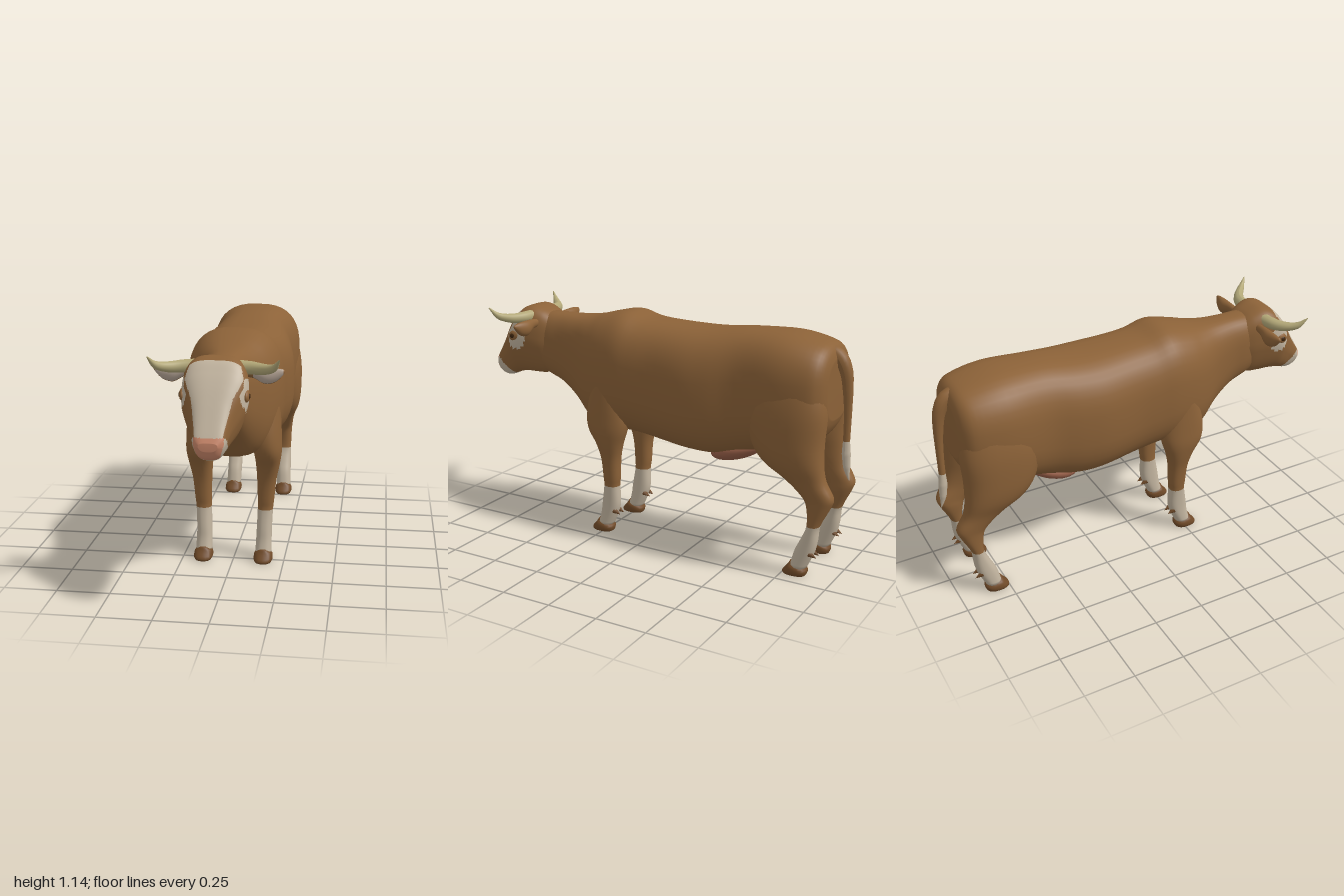
import * as THREE from 'three';

const mat = (name, color) => Object.assign(new THREE.MeshStandardMaterial({ color }), { name });

// Smooth interpolation through the cross-section rows
function refine(rows, sub) {
  const out = [];
  const at = i => rows[Math.min(Math.max(i, 0), rows.length - 1)];
  for (let i = 0; i < rows.length - 1; i++) {
    for (let k = 0; k < sub; k++) {
      const t = k / sub;
      out.push(rows[i].map((b, n) => {
        const a = at(i - 1)[n], c = at(i + 1)[n], d = at(i + 2)[n];
        return b + 0.5 * t * (c - a + t * (2 * a - 5 * b + 4 * c - d + t * (3 * (b - c) + d - a)));
      }));
    }
  }
  out.push(rows[rows.length - 1]);
  return out;
}

// Closed loft. Row: [t, vLow, vHigh, uLow, uHigh]; place turns (u, v, t) into xyz;
// paint picks a material index for each patch; taper narrows the lower half.
function loft(rows, place, { p = 1, seg = 32, sub = 4, taper = 0, mats, paint = () => 0 }) {
  const rings = refine(rows, sub), pos = [], lists = mats.map(() => []);
  const pw = c => Math.sign(c) * Math.abs(c) ** p;
  for (const [t, v0, v1, u0, u1] of rings) {
    for (let j = 0; j < seg; j++) {
      const a = (j / seg) * Math.PI * 2, s = pw(Math.sin(a));
      const u = (u0 + u1) / 2 + (u1 - u0) / 2 * pw(Math.cos(a)) * (1 - taper * Math.max(0, -s));
      pos.push(...place(u, (v0 + v1) / 2 + (v1 - v0) / 2 * s, t));
    }
  }
  const last = (rings.length - 1) * seg, centre = pos.length / 3;
  for (const [t, v0, v1, u0, u1] of [rings[0], rings[rings.length - 1]])
    pos.push(...place((u0 + u1) / 2, (v0 + v1) / 2, t));
  const add = (...ids) => {
    const c = [0, 1, 2].map(k => ids.reduce((sum, id) => sum + pos[id * 3 + k], 0) / ids.length);
    const list = lists[paint(...c)];
    list.push(ids[0], ids[1], ids[2]);
    if (ids.length === 4) list.push(ids[0], ids[2], ids[3]);
  };
  for (let j = 0; j < seg; j++) {
    const k = (j + 1) % seg;
    for (let i = 0; i < last; i += seg) add(i + j, i + k, i + seg + k, i + seg + j);
    add(centre, k, j);
    add(centre + 1, last + j, last + k);
  }
  const g = new THREE.BufferGeometry();
  g.setAttribute('position', new THREE.Float32BufferAttribute(pos, 3));
  g.setIndex(lists.flat());
  let start = 0;
  lists.forEach((l, m) => { g.addGroup(start, l.length, m); start += l.length; });
  g.computeVertexNormals();
  return new THREE.Mesh(g, mats);
}

// Tube along a curve whose radius changes along its length
function taperTube(points, radii, material, seg = 24, sides = 14) {
  const curve = new THREE.CatmullRomCurve3(points.map(q => new THREE.Vector3(...q)));
  const g = new THREE.TubeGeometry(curve, seg, 1, sides);
  const P = g.attributes.position, v = new THREE.Vector3();
  for (let i = 0; i <= seg; i++) {
    const f = (i / seg) * (radii.length - 1), k = Math.min(Math.floor(f), radii.length - 2);
    const r = THREE.MathUtils.lerp(radii[k], radii[k + 1], f - k), c = curve.getPointAt(i / seg);
    for (let j = 0; j <= sides; j++) {
      const n = i * (sides + 1) + j;
      v.fromBufferAttribute(P, n).sub(c).multiplyScalar(r).add(c);
      P.setXYZ(n, v.x, v.y, v.z);
    }
  }
  g.computeVertexNormals();
  return new THREE.Mesh(g, material);
}

function ellipsoid(center, radii, material, tilt) {
  const g = new THREE.SphereGeometry(1, 24, 16).scale(...radii).rotateX(tilt).translate(...center);
  return new THREE.Mesh(g, material);
}

// Mirror image across x with the winding restored
function mirrored(mesh) {
  const g = mesh.geometry.clone().scale(-1, 1, 1), idx = g.index.array;
  for (let i = 0; i < idx.length; i += 3) [idx[i], idx[i + 1]] = [idx[i + 1], idx[i]];
  return new THREE.Mesh(g, mesh.material);
}

export function createModel() {
  const cow = new THREE.Group();
  cow.name = 'cow';
  const brown = mat('brownCoat', 0x8c6238), white = mat('whiteHair', 0xc2b49f);
  const pink = mat('noseSkin', 0xca876a), horn = mat('horn', 0xb3a878), hoof = mat('hoof', 0x704a28);
  const skin = mat('udderSkin', 0x985f48), inner = mat('innerEar', 0xb6a596), dark = mat('eye', 0x40270f);

  const put = (name, mesh) => { mesh.name = name; cow.add(mesh); };
  const pair = (name, mesh) => {
    put('left' + name, mesh);
    put('right' + name, mirrored(mesh));
  };
  const alongZ = (u, v, t) => [u, v, t];
  const alongY = (u, v, t) => [u, t, v];
  const wide = rows => rows.map(([z, lo, hi, w]) => [z, lo, hi, -w, w]);

  // Trunk and neck: z, bottom, top, half width
  put('body', loft(wide([
    [-0.925, 0.74, 1.02, 0.13], [-0.905, 0.69, 1.07, 0.18], [-0.85, 0.63, 1.10, 0.22],
    [-0.7, 0.58, 1.125, 0.238], [-0.5, 0.53, 1.12, 0.218], [-0.35, 0.495, 1.105, 0.24],
    [-0.22, 0.495, 1.10, 0.25], [-0.05, 0.515, 1.105, 0.234], [0.06, 0.53, 1.115, 0.234],
    [0.16, 0.535, 1.14, 0.234], [0.27, 0.54, 1.12, 0.214], [0.36, 0.56, 1.097, 0.18],
    [0.45, 0.64, 1.087, 0.135], [0.55, 0.715, 1.085, 0.11], [0.63, 0.75, 1.085, 0.107],
    [0.7, 0.78, 1.08, 0.1],
  ]), alongZ, { p: 0.75, seg: 40, mats: [brown] }));

  // Head with white blaze, separate eye patches, muzzle band and pink nose
  const blaze = y => (y > 1.03 ? 0.125 - (y - 1.03) * 0.3 : y > 0.96 ? 0.088 + (y - 0.96) * 0.53 : 0.055 + (y - 0.8) * 0.206);
  const paintHead = (x, y, z) => {
    const ax = Math.abs(x);
    if (z > 0.938 + Math.max(0, 0.78 - y) * 0.5 && y < 0.82 && ax < 0.064 - Math.max(0, 0.79 - y) * 0.3) return 2;
    if (z > 0.88 + (y - 0.735) * 1.12 && y < 0.83) return 1;
    if (z > 0.785 && y > 0.8 && ax < blaze(y)) return 1;
    const patch = ((z - 0.802) / 0.062) ** 2 + ((y - 0.962) / 0.07) ** 2 < 1;
    return patch && ax > Math.min(blaze(y) + 0.017, 0.126) ? 1 : 0;
  };
  put('head', loft(wide([
    [0.62, 0.79, 1.06, 0.095], [0.67, 0.76, 1.095, 0.118], [0.73, 0.755, 1.115, 0.135],
    [0.785, 0.755, 1.103, 0.143], [0.83, 0.748, 1.06, 0.138], [0.87, 0.735, 1.01, 0.115],
    [0.91, 0.718, 0.95, 0.09], [0.95, 0.715, 0.885, 0.075], [0.982, 0.732, 0.832, 0.063],
    [1.0, 0.765, 0.80, 0.04],
  ]), alongZ, { p: 0.58, seg: 168, sub: 10, taper: 0.28, mats: [brown, white, pink], paint: paintHead }));

  // Eyes with brown lids
  pair('Eyelid', ellipsoid([0.136, 0.96, 0.812], [0.014, 0.026, 0.033], brown, 0.4));
  pair('Eye', ellipsoid([0.142, 0.96, 0.815], [0.011, 0.014, 0.018], dark, 0.4));

  // Horns sweep outward, forward and up
  pair('Horn', taperTube([[0.08, 1.067, 0.725], [0.15, 1.065, 0.74], [0.205, 1.067, 0.772],
    [0.25, 1.083, 0.815], [0.278, 1.125, 0.852]], [0.03, 0.029, 0.024, 0.017, 0.002], horn));

  // Ears: pale on the front side
  pair('Ear', loft([
    [0.1, 1.015, 1.055, -0.705, -0.67], [0.15, 1.01, 1.06, -0.705, -0.665],
    [0.2, 0.985, 1.062, -0.71, -0.655], [0.245, 0.995, 1.06, -0.705, -0.665],
    [0.275, 1.025, 1.053, -0.70, -0.68], [0.285, 1.04, 1.046, -0.692, -0.688],
  ], (u, v, t) => [t, v, -u], {
    seg: 28, mats: [brown, inner],
    paint: (x, y, z) => (x > 0.15 && x < 0.278 && z > 0.693 ? 1 : 0),
  }));

  // Legs: y, back z, front z, inner x, outer x; white socks below the knee
  const legs = {
    Front: [
      [0.92, 0.17, 0.26, 0.05, 0.19], [0.82, 0.14, 0.295, 0.05, 0.216], [0.72, 0.115, 0.322, 0.06, 0.225],
      [0.62, 0.105, 0.335, 0.08, 0.23], [0.55, 0.115, 0.322, 0.098, 0.231], [0.48, 0.138, 0.28, 0.107, 0.221],
      [0.4, 0.155, 0.255, 0.112, 0.205], [0.3, 0.16, 0.247, 0.115, 0.195], [0.253, 0.165, 0.245, 0.115, 0.19],
      [0.16, 0.163, 0.26, 0.112, 0.186], [0.1, 0.178, 0.268, 0.11, 0.186], [0.04, 0.205, 0.284, 0.108, 0.188],
    ],
    Hind: [
      [1.02, -0.82, -0.67, 0.06, 0.14], [0.94, -0.89, -0.6, 0.03, 0.212], [0.8, -0.925, -0.545, 0.03, 0.246],
      [0.65, -0.92, -0.565, 0.04, 0.248], [0.55, -0.925, -0.625, 0.065, 0.235], [0.47, -0.94, -0.74, 0.085, 0.205],
      [0.4, -0.977, -0.82, 0.09, 0.19], [0.35, -0.965, -0.85, 0.09, 0.185], [0.255, -0.92, -0.86, 0.103, 0.183],
      [0.18, -0.912, -0.832, 0.104, 0.184], [0.12, -0.9, -0.805, 0.106, 0.186], [0.04, -0.865, -0.785, 0.108, 0.188],
    ],
  };
  for (const [name, rows] of Object.entries(legs)) {
    pair(name + 'Leg', loft(rows, alongY, {
      p: 0.85, mats: [brown, white], paint: (x, y) => (y < 0.255 ? 1 : 0),
    }));
    // Hoof slopes forward, higher at the toe than at the heel
    const [, zb, zf] = rows[rows.length - 1];
    pair(name + 'Hoof', loft([
      [0.062, zf - 0.03, zf + 0.001, 0.135, 0.161], [0.045, zb + 0.02, zf + 0.01, 0.109, 0.187],
      [0.03, zb - 0.003, zf + 0.022, 0.103, 0.194], [0.012, zb - 0.003, zf + 0.036, 0.102, 0.195],
      [0, zb + 0.002, zf + 0.034, 0.108, 0.189],
    ], alongY, { p: 0.8, sub: 2, seg: 20, mats: [hoof] }));
    // Dewclaws behind the pastern
    for (const x of [0.13, 0.166]) {
      const g = new THREE.ConeGeometry(0.016, 0.04, 8).rotateX(-Math.PI / 2 - 0.4)
        .translate(x, 0.112, zb - 0.036);
      pair(name + 'Dewclaw', new THREE.Mesh(g, hoof));
    }
  }

  // Udder, lowest toward the front
  put('udder', ellipsoid([0, 0.522, -0.435], [0.125, 0.056, 0.15], skin, 0.32));

  // Tail and its pale switch
  put('tail', taperTube([[0, 1.05, -0.86], [0, 1.03, -0.92], [0, 0.97, -0.955], [0, 0.87, -0.97],
    [0, 0.74, -0.975], [0, 0.62, -0.975]], [0.036, 0.034, 0.026, 0.02, 0.017, 0.016], brown));
  put('tailSwitch', taperTube([[0, 0.64, -0.975], [0, 0.58, -0.977], [0, 0.5, -0.985], [0, 0.45, -0.997]],
    [0.016, 0.021, 0.017, 0.002], white));

  return cow;
}
